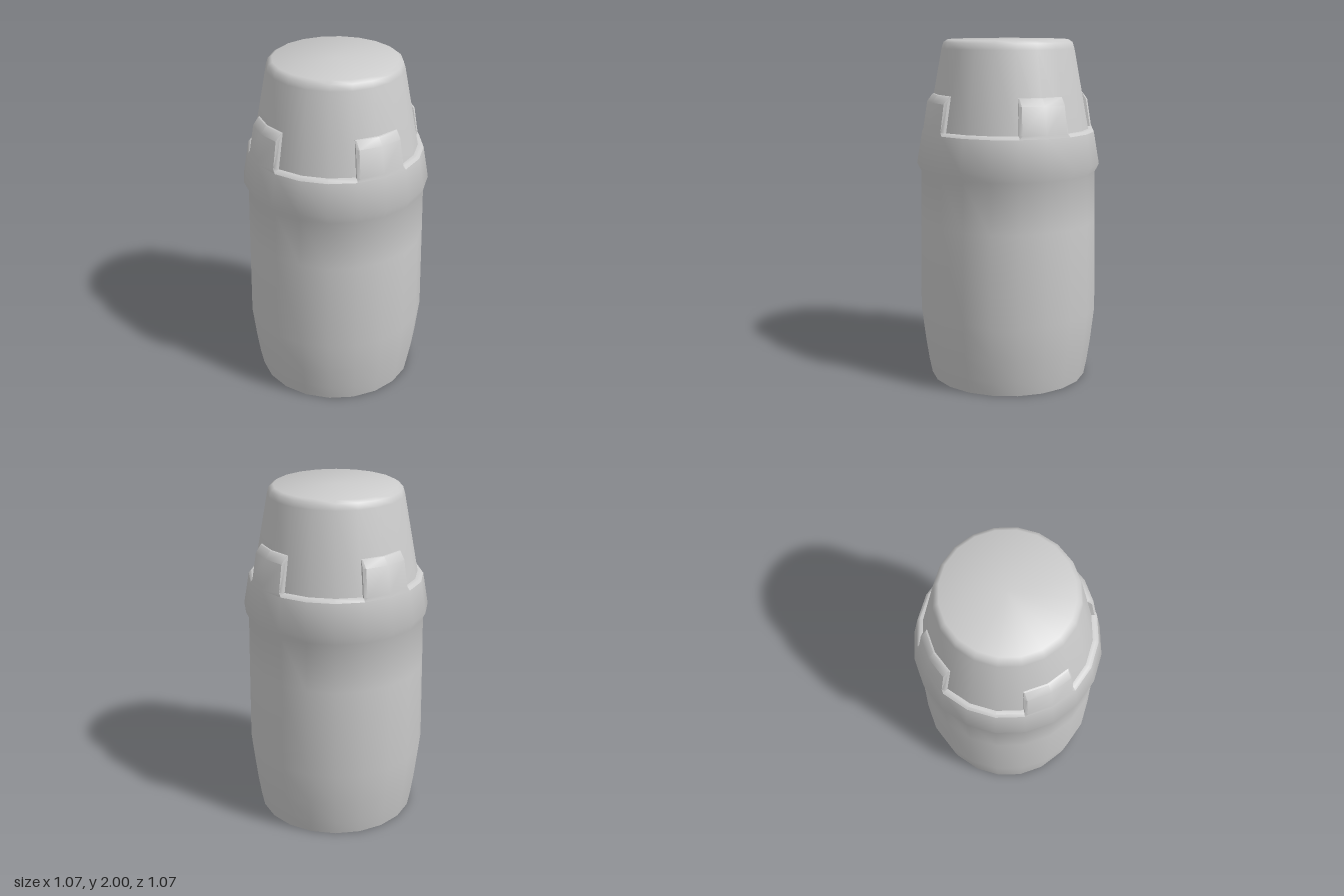
import * as THREE from 'three';
import { toCreasedNormals } from 'three/addons/utils/BufferGeometryUtils.js';

const SIDES = 20, STEP = Math.PI * 2 / SIDES, CREASE = 0.75;
const material = new THREE.MeshStandardMaterial({ color: 0xcccccc });

function addMesh(parent, name, geometry) {
  const mesh = new THREE.Mesh(toCreasedNormals(geometry, CREASE), material);
  mesh.name = name;
  parent.add(mesh);
  return mesh;
}

function lathe(profile, segments = SIDES, start = 0) {
  const points = profile.map(([r, y]) => new THREE.Vector2(r, y));
  return new THREE.LatheGeometry(points, segments, start, segments * STEP);
}

// Point on the faceted ring of radius r at angle phi
function ringPoint(r, y, phi) {
  const local = phi - Math.floor(phi / STEP + 1e-6) * STEP;
  const k = r * Math.cos(STEP / 2) / Math.cos(local - STEP / 2);
  return [k * Math.sin(phi), y, k * Math.cos(phi)];
}

// Raised collar tooth, two facets wide, with bevelled top and sides
function toothGeometry() {
  const inset = 0.035, start = -2 * STEP;
  // [outer radius, height, inner radius, bevel depth]
  const rows = [
    [0.505, 1.475, 0.47, 0],
    [0.501, 1.495, 0.465, 1],
    [0.476, 1.65, 0.435, 1],
    [0.443, 1.692, 0.425, 0.5],
    [0.425, 1.695, 0.42, 0],
  ];
  const positions = [], index = [], columns = 7;
  for (const [r, y, inner, bevel] of rows) {
    const edge = r - 0.014 * bevel, cut = inset * bevel;
    const section = [
      [inner, start], [edge, start], [r, start + cut], [r, start + STEP],
      [r, -cut], [edge, 0], [inner, 0],
    ];
    for (const [radius, phi] of section) positions.push(...ringPoint(radius, y, phi));
  }
  for (let i = 0; i < rows.length - 1; i++) {
    for (let j = 0; j < columns - 1; j++) {
      const a = i * columns + j, d = a + columns;
      index.push(a, a + 1, d + 1, a, d + 1, d);
    }
  }
  const geometry = new THREE.BufferGeometry();
  geometry.setAttribute('position', new THREE.Float32BufferAttribute(positions, 3));
  geometry.setIndex(index);
  return geometry;
}

export function createModel() {
  const model = new THREE.Group();
  model.name = 'canister';

  // Tapered body running up into the flared collar
  addMesh(model, 'body', lathe([
    [0, 0], [0.465, 0], [0.483, 0.09], [0.502, 0.22], [0.525, 0.42],
    [0.517, 0.95], [0.512, 1.24], [0.537, 1.29], [0.505, 1.475],
  ]));

  // Conical cap with a rounded upper rim
  addMesh(model, 'cap', lathe([
    [0.477, 1.46], [0.386, 1.95], [0.375, 1.985], [0.352, 2], [0, 2],
  ]));

  // Collar crown: four teeth with a low rim between them
  const crown = new THREE.Group();
  crown.name = 'collarCrown';
  model.add(crown);
  const tooth = toothGeometry();
  const rim = lathe([[0.505, 1.475], [0.491, 1.49], [0.465, 1.492]], 3);
  for (let i = 0; i < 4; i++) {
    addMesh(crown, 'collarTooth', tooth).rotation.y = i * Math.PI / 2;
    addMesh(crown, 'collarRim', rim).rotation.y = i * Math.PI / 2;
  }
  return model;
}
